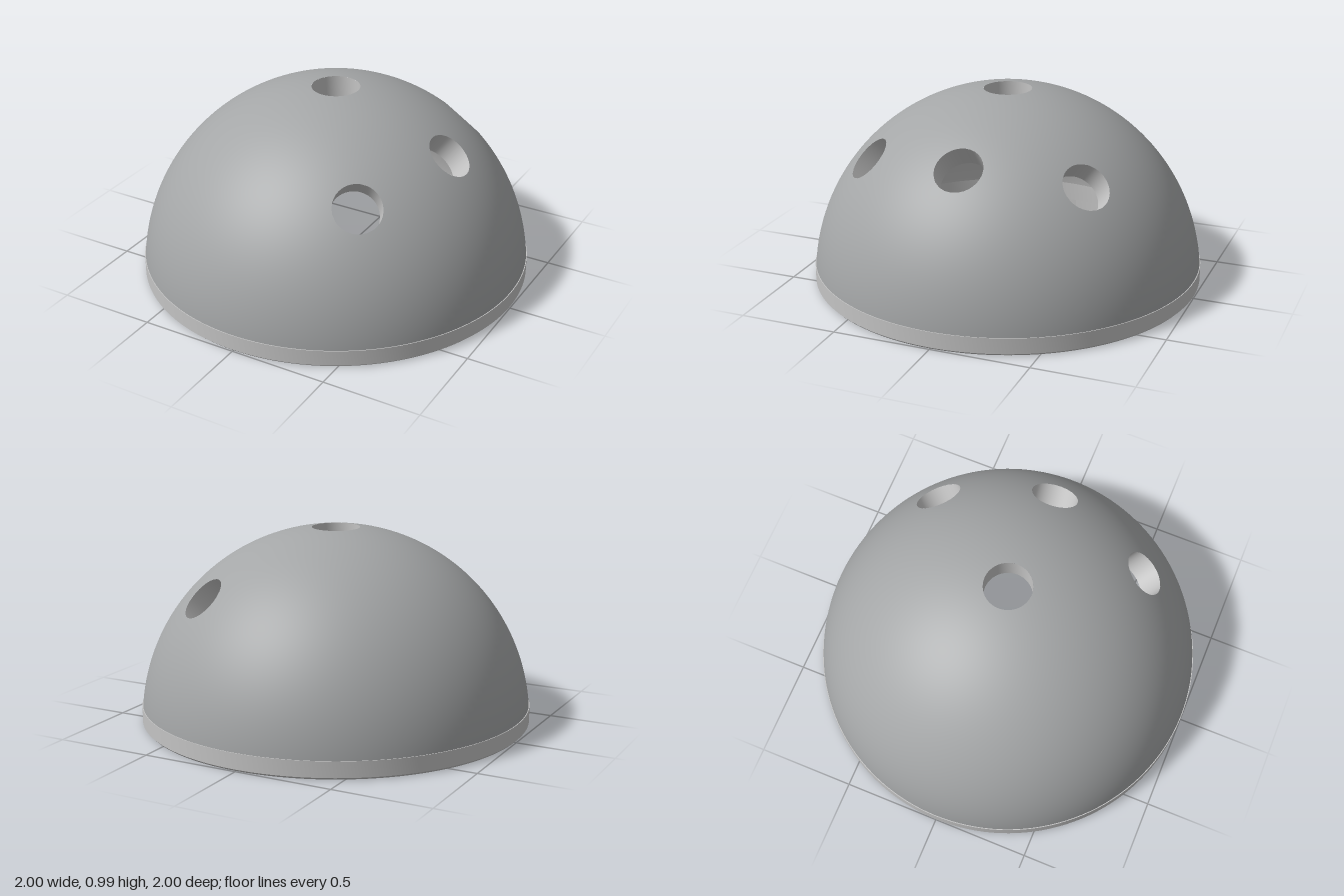
import * as THREE from 'three';
import { toCreasedNormals } from 'three/addons/utils/BufferGeometryUtils.js';

const OUTER = 1, INNER = 0.872, HOLE = 0.122;
const RIM_TOP = 0.09, LEDGE_Y = 0.2, RIM_INNER = 0.88, NOTCH_OUTER = 0.945, NOTCH_HALF = 0.075;

// Drill axes: one at the crown, three on the +x side
const axes = [[0, 1, 0], [0.64, 0.768, 0], [0.44, 0.69, 0.57], [0.44, 0.69, -0.57]]
  .map(a => new THREE.Vector3(...a).normalize());

// Positive outside the cylindrical hole around an axis
function outside(p, axis) {
  return p.dot(axis) < 0 ? 1 : new THREE.Vector3().crossVectors(p, axis).length() - HOLE;
}

// Cuts a polygon on the sphere along the edge of one hole
function clip(poly, axis, radius) {
  const out = [];
  poly.forEach((a, i) => {
    const b = poly[(i + 1) % poly.length];
    const fa = outside(a, axis), fb = outside(b, axis);
    if (fa >= 0) out.push(a);
    if ((fa >= 0) !== (fb >= 0)) out.push(a.clone().lerp(b, fa / (fa - fb)).setLength(radius));
  });
  return out;
}

// Drilled spherical cap reaching down to height yMin; sign -1 makes it face inwards
function drilledCap(radius, yMin, sign) {
  const cols = 144, rows = 48, thetaMax = Math.acos(yMin / radius);
  const positions = [], normals = [];
  const at = (i, j) => new THREE.Vector3().setFromSphericalCoords(
    radius, thetaMax * j / rows, Math.PI * 2 * i / cols);
  for (let j = 0; j < rows; j++) {
    for (let i = 0; i < cols; i++) {
      const quad = [at(i, j), at(i, j + 1), at(i + 1, j + 1), at(i + 1, j)];
      for (const tri of [[quad[0], quad[1], quad[2]], [quad[0], quad[2], quad[3]]]) {
        let poly = tri;
        for (const axis of axes) poly = clip(poly, axis, radius);
        if (sign < 0) poly = poly.slice().reverse();
        for (let k = 1; k + 1 < poly.length; k++) {
          for (const p of [poly[0], poly[k], poly[k + 1]]) {
            positions.push(p.x, p.y, p.z);
            normals.push(sign * p.x / radius, sign * p.y / radius, sign * p.z / radius);
          }
        }
      }
    }
  }
  const geo = new THREE.BufferGeometry();
  geo.setAttribute('position', new THREE.Float32BufferAttribute(positions, 3));
  geo.setAttribute('normal', new THREE.Float32BufferAttribute(normals, 3));
  return geo;
}

// Surface of revolution; points running upwards face outwards
function lathe(points, segments = 144) {
  const geo = new THREE.LatheGeometry(points.map(p => new THREE.Vector2(...p)), segments);
  return toCreasedNormals(geo, 0.4);
}

// Base ring with twelve slots cut into its inner edge
function notchedRing() {
  const shape = new THREE.Shape().absarc(0, 0, 0.99, 0, Math.PI * 2);
  const points = [], count = 12, step = Math.PI * 2 / count;
  const half = Math.asin(NOTCH_HALF / RIM_INNER);
  for (let k = 0; k < count; k++) {
    const a = k * step;
    for (const s of [-1, 1]) {
      points.push(new THREE.Vector2(NOTCH_OUTER, s * NOTCH_HALF).rotateAround(new THREE.Vector2(), a));
    }
    for (let i = 0; i <= 8; i++) {
      const t = a + half + (step - 2 * half) * i / 8;
      points.push(new THREE.Vector2(RIM_INNER * Math.cos(t), RIM_INNER * Math.sin(t)));
    }
  }
  shape.holes.push(new THREE.Path().setFromPoints(points));
  const geo = new THREE.ExtrudeGeometry(shape, { depth: RIM_TOP, bevelEnabled: false, curveSegments: 144 });
  return toCreasedNormals(geo.rotateX(-Math.PI / 2), 0.4);
}

export function createModel() {
  const model = new THREE.Group();
  model.name = 'drilledDome';
  const shellGrey = new THREE.MeshStandardMaterial({ color: 0xa4a6a7 });
  shellGrey.name = 'shell grey';
  const lightGrey = new THREE.MeshStandardMaterial({ color: 0xc4c4c4 });
  lightGrey.name = 'light grey';

  const add = (name, geo, material) => {
    const mesh = new THREE.Mesh(geo, material);
    mesh.name = name;
    model.add(mesh);
    return mesh;
  };

  // Shell
  add('outerDome', drilledCap(OUTER, RIM_TOP, 1), shellGrey);
  add('innerDome', drilledCap(INNER, LEDGE_Y, -1), lightGrey);

  // Walls of the drilled holes
  const yOut = Math.sqrt(OUTER ** 2 - HOLE ** 2), yIn = Math.sqrt(INNER ** 2 - HOLE ** 2);
  for (const axis of axes) {
    const wall = add('holeWall', lathe([[HOLE, yOut], [HOLE, yIn]], 48), lightGrey);
    wall.quaternion.setFromUnitVectors(new THREE.Vector3(0, 1, 0), axis);
  }

  // Base rim: outer band, slotted ring, then slot ceilings, inner wall and ledge
  add('rimBand', lathe([[0.99, 0], [1, 0.01], [1, RIM_TOP], [0.995, RIM_TOP]]), lightGrey);
  add('slottedRing', notchedRing(), lightGrey);
  const ledgeInner = Math.sqrt(INNER ** 2 - LEDGE_Y ** 2);
  add('innerWall', lathe([[ledgeInner, LEDGE_Y], [RIM_INNER, LEDGE_Y],
    [RIM_INNER, RIM_TOP], [NOTCH_OUTER + 0.01, RIM_TOP]].slice(1)), lightGrey);
  add('ledge', lathe([[ledgeInner, LEDGE_Y], [RIM_INNER, LEDGE_Y]]), lightGrey);
  return model;
}
